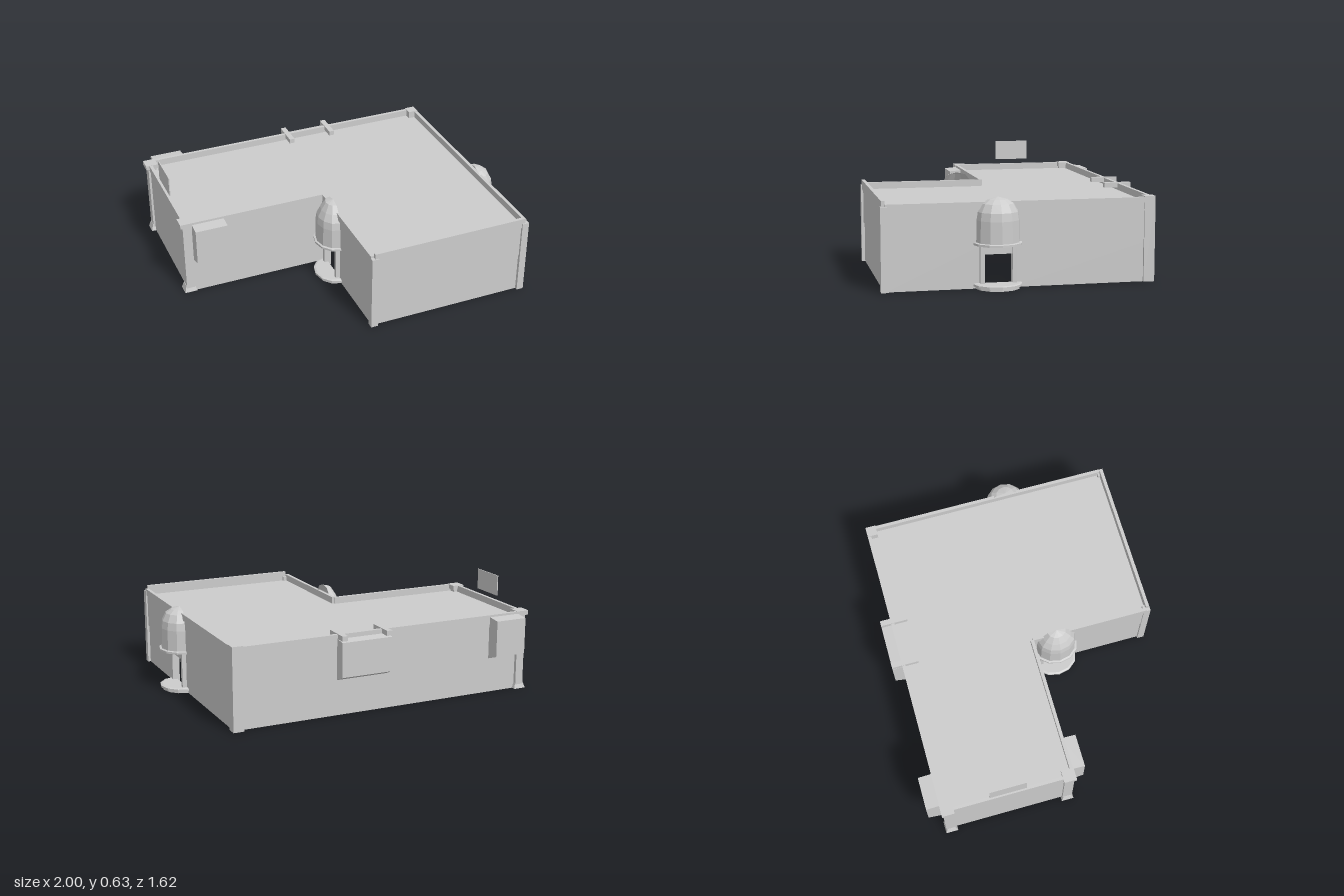
import * as THREE from 'three';

export function createModel() {
  const model = new THREE.Group();
  model.name = 'building';
  const stone = new THREE.MeshStandardMaterial({ color: 0xcccccc, side: THREE.DoubleSide });
  stone.name = 'pale grey stone';

  function add(name, geometry, parent = model) {
    const mesh = new THREE.Mesh(geometry, stone);
    mesh.name = name;
    parent.add(mesh);
    return mesh;
  }
  function box(name, x0, x1, y0, y1, z0, z1, parent) {
    const g = new THREE.BoxGeometry(x1 - x0, y1 - y0, z1 - z0);
    g.translate((x0 + x1) / 2, (y0 + y1) / 2, (z0 + z1) / 2);
    return add(name, g, parent);
  }
  // Thin slab of wall: axis it runs along, from a to b, outer face at c, facing sign s
  function slab(name, axis, a, b, c, s, y0, y1, t = 0.02) {
    const lo = Math.min(c, c - s * t), hi = Math.max(c, c - s * t);
    if (axis === 'x') box(name, a, b, y0, y1, lo, hi);
    else box(name, lo, hi, y0, y1, a, b);
  }

  // Wall in three courses: recessed base, upper wall, parapet; optional door centre
  function wall(name, axis, a, b, c, s, { top = 0.48, step = 0.006, door = null } = {}) {
    const base = c - s * step;
    if (door === null) slab(name + 'Base', axis, a, b, base, s, 0, 0.24);
    else {
      slab(name + 'Base', axis, a, door - 0.085, base, s, 0, 0.24);
      slab(name + 'Base', axis, door + 0.085, b, base, s, 0, 0.24);
      slab(name + 'Lintel', axis, door - 0.085, door + 0.085, c + s * 0.008, s, 0.19, 0.24);
      for (const k of [-1, 1]) {
        const m = door + k * 0.09;
        slab(name + 'DoorPost', axis, m - 0.012, m + 0.012, c + s * 0.02, s, 0.03, 0.24, 0.04);
      }
    }
    slab(name + 'Upper', axis, a, b, c, s, 0.24, 0.44);
    slab(name + 'Parapet', axis, a, b, c + s * 0.006, s, 0.44, top, 0.02);
  }
  wall('frontWall', 'x', -0.09, 0.87, 0.797, 1, { top: 0.498 });
  wall('rightWall', 'z', -0.73, 0.785, 0.88, 1, { door: 0.165 });
  wall('backWall', 'x', -0.96, 0.88, -0.725, -1, { step: 0.02 });
  wall('wingEndWall', 'z', -0.72, 0.065, -0.972, -1, { step: 0 });
  wall('wingFrontWall', 'x', -0.96, -0.105, 0.066, 1, { step: 0 });
  wall('courtWall', 'z', 0.065, 0.785, -0.104, -1, { door: 0.215 });

  // L-shaped roof deck
  const plan = new THREE.Shape([
    [-0.965, 0.73], [0.875, 0.73], [0.875, -0.785],
    [-0.1, -0.785], [-0.1, -0.06], [-0.965, -0.06],
  ].map(([x, y]) => new THREE.Vector2(x, y)));
  const deck = new THREE.ExtrudeGeometry(plan, { depth: 0.015, bevelEnabled: false });
  deck.rotateX(-Math.PI / 2);
  deck.translate(0, 0.425, 0);
  add('roofDeck', deck);

  // Plain corner columns
  box('frontColumn', -0.11, -0.068, 0, 0.467, 0.768, 0.81);
  box('frontColumn', 0.848, 0.89, 0, 0.467, 0.768, 0.81);
  box('backColumn', 0.825, 0.888, 0, 0.485, -0.733, -0.67);

  // Wing columns with flared foot and cap
  for (const [z, s] of [[-0.695, -1], [0.037, 1]]) {
    const column = new THREE.Group();
    column.name = 'wingColumn';
    model.add(column);
    box('shaft', -0.985, -0.935, 0, 0.46, z - 0.03, z + 0.03, column);
    const foot = new THREE.CylinderGeometry(0.036, 0.053, 0.04, 4, 1);
    foot.rotateY(Math.PI / 4);
    const flat = foot.toNonIndexed();
    flat.computeVertexNormals();
    flat.translate(-0.962, 0.02, z);
    add('foot', flat, column);
    box('cap', -1, -0.925, 0.455, 0.482, z - 0.038, z + 0.038, column);
  }

  // Projecting wall boxes with sloping tops and undersides
  function wallBox(x0, x1, z, s, depth, top) {
    const profile = new THREE.Shape([
      [0, 0.215], [depth, 0.245], [depth, top - 0.008], [0, top],
    ].map(([x, y]) => new THREE.Vector2(x, y)));
    const g = new THREE.ExtrudeGeometry(profile, { depth: x1 - x0, bevelEnabled: false });
    g.rotateY(-s * Math.PI / 2);
    g.translate(s > 0 ? x1 : x0, 0, z);
    add('wallBox', g);
  }
  wallBox(-0.93, -0.735, 0.06, 1, 0.085, 0.468);
  wallBox(-0.93, -0.735, -0.725, -1, 0.085, 0.468);
  wallBox(-0.05, 0.26, -0.725, -1, 0.068, 0.455);
  // Arms hooking the back box over the parapet
  for (const x of [-0.05, 0.227]) box('boxArm', x, x + 0.033, 0.455, 0.484, -0.793, -0.63);

  // Thin panel above the wing end
  box('roofPanel', -0.974, -0.968, 0.51, 0.635, -0.44, -0.22);

  // Half-round balcony: stepped slab below, faceted canopy above
  function balcony(x, z, s, reach, apex) {
    const bay = new THREE.Group();
    bay.name = 'balcony';
    const half = (name, points) => {
      const g = new THREE.LatheGeometry(points.map(([r, y]) => new THREE.Vector2(r, y)), 6, 0, Math.PI).toNonIndexed();
      g.computeVertexNormals();
      add(name, g, bay);
    };
    half('balconySlab', [[0, 0], [0.125, 0], [0.125, 0.012], [0.138, 0.014], [0.138, 0.026], [0.125, 0.03], [0, 0.03]]);
    half('canopyRim', [[0, 0.243], [0.138, 0.243], [0.138, 0.255], [0.124, 0.258]]);
    half('canopyDome', [[0.124, 0.255], [0.122, 0.38], [0.115, 0.425], [0.09, 0.47], [0.055, apex - 0.013], [0, apex]]);
    bay.scale.x = reach / 0.138;
    if (s < 0) bay.rotation.y = Math.PI;
    bay.position.set(x, 0, z);
    model.add(bay);
  }
  balcony(0.872, 0.165, 1, 0.128, 0.505);
  balcony(-0.1, 0.215, -1, 0.115, 0.528);

  return model;
}
